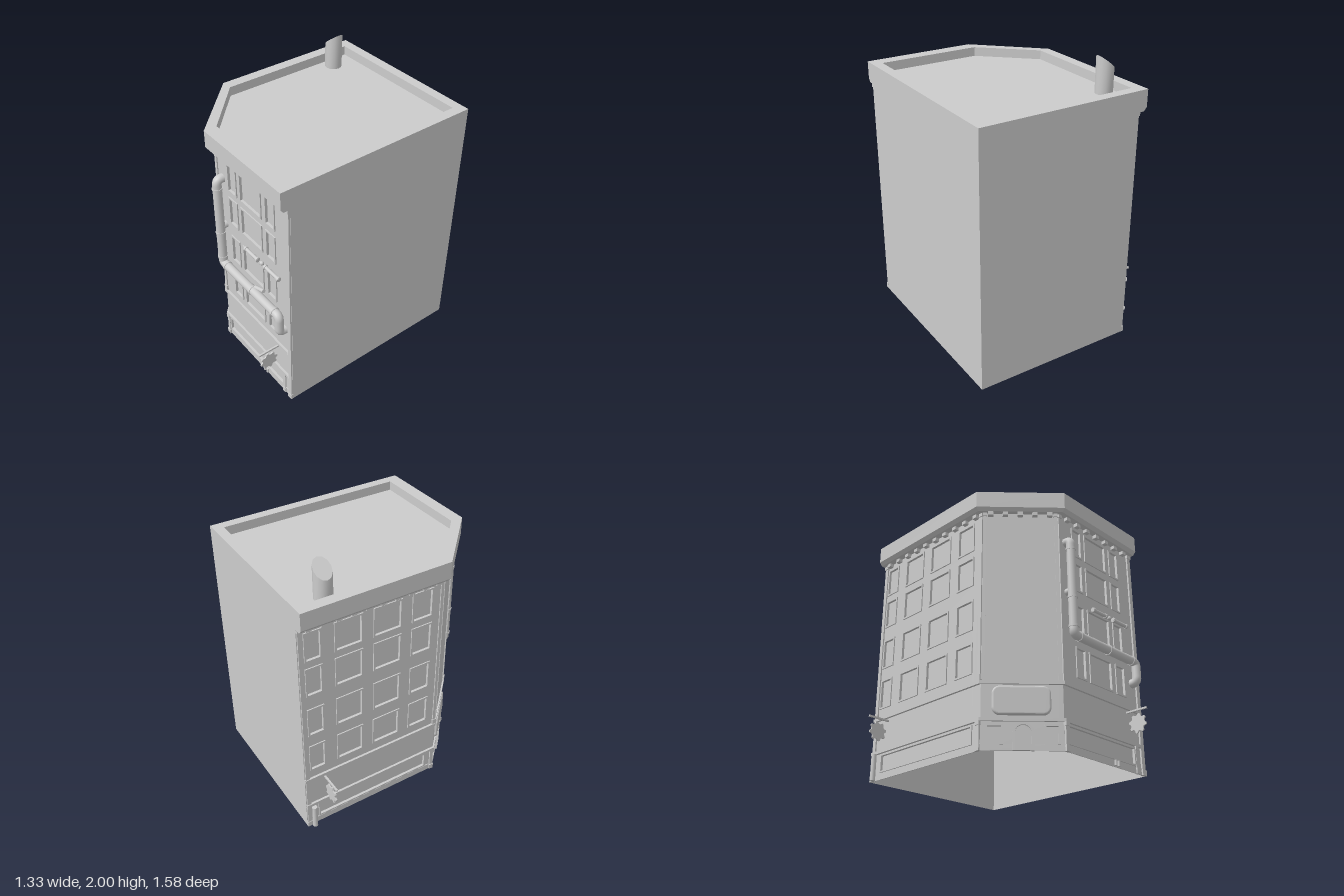
import * as THREE from 'three';

const grey = new THREE.MeshStandardMaterial({ color: 0xcccccc, side: THREE.DoubleSide });
grey.name = 'stoneGrey';

const TOP = 1.67;

// Street-side outline (rear left, chamfer start, chamfer end, front right), pushed out by o
const street = (o, xEnd = 0.667) => [[-0.5 - o, -0.785], [-0.5 - o, 0.28], [-0.135, 0.63 + o], [xEnd, 0.63 + o]];
const around = (o) => [...street(o), [0.667, -0.785]];
const roofInner = [[-0.49, -0.715], [-0.49, 0.275], [-0.133, 0.605], [0.597, 0.605], [0.597, -0.715]];

function add(parent, name, geometry, x = 0, y = 0, z = 0) {
  const m = new THREE.Mesh(geometry, grey);
  m.name = name;
  m.position.set(x, y, z);
  parent.add(m);
  return m;
}

const box = (parent, name, x0, x1, y0, y1, z0, z1) =>
  add(parent, name, new THREE.BoxGeometry(x1 - x0, y1 - y0, z1 - z0), (x0 + x1) / 2, (y0 + y1) / 2, (z0 + z1) / 2);

// Flat-faced skin over a list of [outline, height] rings
function loft(rings, closed) {
  const pos = [];
  const n = rings[0][0].length;
  for (let r = 0; r + 1 < rings.length; r++) {
    for (let i = 0; i < (closed ? n : n - 1); i++) {
      const j = (i + 1) % n;
      const p = (k, q) => [rings[k][0][q][0], rings[k][1], rings[k][0][q][1]];
      const a = p(r, i), b = p(r, j), c = p(r + 1, j), d = p(r + 1, i);
      pos.push(...a, ...b, ...c, ...a, ...c, ...d);
    }
  }
  const g = new THREE.BufferGeometry();
  g.setAttribute('position', new THREE.Float32BufferAttribute(pos, 3));
  g.computeVertexNormals();
  return g;
}

function rect(x0, x1, y0, y1, Type = THREE.Shape) {
  return new Type([[x0, y0], [x1, y0], [x1, y1], [x0, y1]].map((p) => new THREE.Vector2(...p)));
}

function roundRect(w, h, r) {
  const s = new THREE.Shape();
  const x = w / 2 - r, y = h / 2 - r;
  s.absarc(x, y, r, 0, Math.PI / 2);
  s.absarc(-x, y, r, Math.PI / 2, Math.PI);
  s.absarc(-x, -y, r, Math.PI, Math.PI * 1.5);
  s.absarc(x, -y, r, Math.PI * 1.5, Math.PI * 2);
  s.closePath();
  return s;
}

const extrude = (shape, depth) => new THREE.ExtrudeGeometry(shape, { depth, bevelEnabled: false, curveSegments: 10 });

// Wall between two ground points; local x runs along it, local z points outward
function facade(model, name, a, b, openings) {
  const g = new THREE.Group();
  g.name = name;
  const dx = b[0] - a[0], dz = b[1] - a[1];
  g.position.set(a[0], 0, a[1]);
  g.rotation.y = -Math.atan2(dz, dx);
  model.add(g);
  const wall = rect(0, Math.hypot(dx, dz), 0, TOP);
  for (const [x0, x1, y0, y1] of openings) {
    wall.holes.push(rect(x0, x1, y0, y1, THREE.Path));
    const frame = rect(x0 - 0.006, x1 + 0.006, y0 - 0.006, y1 + 0.006);
    frame.holes.push(rect(x0 + 0.006, x1 - 0.006, y0 + 0.006, y1 - 0.006, THREE.Path));
    add(g, 'windowFrame', extrude(frame, 0.02), 0, 0, -0.012);
    add(g, 'windowPane', new THREE.PlaneGeometry(x1 - x0, y1 - y0), (x0 + x1) / 2, (y0 + y1) / 2, -0.01);
  }
  add(g, 'wall', new THREE.ShapeGeometry(wall));
  return g;
}

function pillar(parent, x, w, y0, y1, d) {
  box(parent, 'pillar', x - w / 2, x + w / 2, y0, y1, -0.005, d);
  box(parent, 'pillarBase', x - w / 2 - 0.004, x + w / 2 + 0.004, y0, y0 + 0.04, -0.005, d + 0.005);
  box(parent, 'pillarCapital', x - w / 2 - 0.004, x + w / 2 + 0.004, y1 - 0.025, y1, -0.005, d + 0.006);
}

// Thin toothed wheel hanging below a rod that sticks out of a wall
function gearSign(parent, x) {
  const pts = [];
  for (let i = 0; i < 32; i++) {
    const r = i % 4 < 2 ? 0.068 : 0.053;
    const t = ((i + 0.5) / 32) * Math.PI * 2;
    pts.push(new THREE.Vector2(Math.cos(t) * r, Math.sin(t) * r));
  }
  const gear = add(parent, 'gearSign', extrude(new THREE.Shape(pts), 0.01), x - 0.005, 0.31, 0.085);
  gear.rotation.y = Math.PI / 2;
  box(parent, 'gearRod', x - 0.006, x + 0.006, 0.396, 0.408, -0.01, 0.162);
}

function rod(parent, name, r, a, b) {
  const s = new THREE.Vector3(...a), e = new THREE.Vector3(...b);
  const m = add(parent, name, new THREE.CylinderGeometry(r, r, s.distanceTo(e), 14), ...s.clone().add(e).multiplyScalar(0.5).toArray());
  m.quaternion.setFromUnitVectors(new THREE.Vector3(0, 1, 0), e.sub(s).normalize());
  return m;
}

export function createModel() {
  const model = new THREE.Group();
  model.name = 'cornerBuilding';
  const [rear, c0, c1, end] = street(0);
  const rows = [[0.515, 0.72], [0.82, 1.03], [1.145, 1.35], [1.41, 1.615]];
  const grid = (cols) => cols.flatMap((c) => rows.map((r) => [...c, ...r]));

  // Walls with windows, and the two blank walls
  const front = facade(model, 'frontWall', c1, end,
    [...grid([[0.14, 0.23], [0.275, 0.5], [0.55, 0.642]]), [0.035, 0.7, 0.055, 0.17]]);
  const corner = facade(model, 'cornerWall', c0, c1, [[0.035, 0.13, 0.045, 0.16], [0.39, 0.475, 0.045, 0.16]]);
  const side = facade(model, 'sideWall', rear, c0,
    [...grid([[0.05, 0.16], [0.26, 0.45], [0.54, 0.74], [0.83, 0.98]]), [0.1, 0.99, 0.055, 0.17]]);
  add(model, 'blankWalls', loft([0, TOP].map((y) => [[[0.667, 0.63], [0.667, -0.785], [-0.5, -0.785]], y]), false));

  // Ledges above and below the sign band
  for (const [y0, y1, o] of [[0.183, 0.205, 0.016], [0.422, 0.445, 0.016], [0, 0.045, 0.006]]) {
    const rings = [[0, y0], [o, y0], [o, y1], [0, y1]].map(([d, y]) => [street(d, 0.63), y]);
    add(model, 'ledge', loft(rings, false));
  }

  // Cornice with parapet and sunken roof
  add(model, 'cornice', loft([[around(0), 1.665], [around(0.045), 1.665], [around(0.066), 1.69],
    [around(0.066), 1.81], [roofInner, 1.81], [roofInner, 1.745]], true));
  const roof = new THREE.ShapeGeometry(new THREE.Shape(roofInner.map((p) => new THREE.Vector2(...p))));
  roof.rotateX(Math.PI / 2);
  add(model, 'roof', roof, 0, 1.745, 0);

  // Dentils under the cornice
  for (const [wall, start, count, step] of [[front, 0.083, 7, 0.104], [corner, 0.05, 5, 0.1], [side, 0.07, 10, 0.104]]) {
    for (let i = 0; i < count; i++) {
      const x = start + i * step;
      box(wall, 'dentil', x - 0.018, x + 0.018, 1.64, 1.668, -0.005, 0.03);
    }
  }

  // Pillars at the corners and beside the shop windows
  pillar(front, 0.782, 0.034, 0, 1.665, 0.012);
  pillar(front, 0.012, 0.024, 0.445, 1.665, 0.008);
  pillar(front, 0.014, 0.026, 0, 0.185, 0.012);
  pillar(front, 0.715, 0.02, 0, 0.185, 0.01);
  pillar(corner, 0.012, 0.02, 0.445, 1.665, 0.008);
  pillar(corner, 0.49, 0.02, 0.445, 1.665, 0.008);
  pillar(side, 1.05, 0.026, 0, 0.185, 0.01);
  pillar(side, 1.053, 0.022, 0.445, 1.665, 0.008);
  pillar(side, 0.02, 0.03, 0, 1.665, 0.01);
  rod(side, 'cornerPost', 0.018, [0.05, 0, 0.026], [0.05, 0.18, 0.026]);

  // Arched door
  const arch = (r, h, Type) => {
    const s = new Type();
    s.moveTo(-r, 0);
    s.lineTo(r, 0);
    s.lineTo(r, h);
    s.absarc(0, h, r, 0, Math.PI);
    s.closePath();
    return s;
  };
  const doorFrame = arch(0.066, 0.11, THREE.Shape);
  doorFrame.holes.push(arch(0.05, 0.11, THREE.Path));
  add(corner, 'doorFrame', extrude(doorFrame, 0.02), 0.257, 0, -0.003);
  add(corner, 'door', extrude(arch(0.05, 0.11, THREE.Shape), 0.006), 0.257, 0, 0);
  box(corner, 'doorHandle', 0.252, 0.262, 0.04, 0.12, 0.005, 0.01);

  // Bulging sign board on the corner
  add(corner, 'signBoard', new THREE.ExtrudeGeometry(roundRect(0.335, 0.16, 0.035),
    { depth: 0.004, bevelThickness: 0.012, bevelSize: 0.014, bevelSegments: 4, curveSegments: 8 }), 0.248, 0.315, 0.004);

  // Hanging gear signs
  gearSign(front, 0.645);
  gearSign(side, 0.152);

  // Big drain pipe on the front, turning into the wall at both ends
  const path = new THREE.CurvePath();
  const pts = [[-0.065, 1.468, 0.6], [-0.065, 1.468, 0.677], [-0.065, 0.775, 0.677], [0.59, 0.775, 0.677],
    [0.59, 0.632, 0.677], [0.59, 0.632, 0.6]].map((p) => new THREE.Vector3(...p));
  let last = pts[0];
  for (let i = 1; i < pts.length - 1; i++) {
    const toward = (q) => pts[i].clone().add(q.clone().sub(pts[i]).setLength(0.034));
    const a = toward(pts[i - 1]), b = toward(pts[i + 1]);
    path.add(new THREE.LineCurve3(last, a));
    path.add(new THREE.QuadraticBezierCurve3(a, pts[i], b));
    last = b;
  }
  path.add(new THREE.LineCurve3(last, pts[5]));
  add(model, 'drainPipe', new THREE.TubeGeometry(path, 240, 0.031, 14, false));
  for (const y of [1.4, 1.04, 0.83]) rod(model, 'pipeCollar', 0.035, [-0.065, y - 0.008, 0.677], [-0.065, y + 0.008, 0.677]);
  for (const x of [-0.01, 0.29, 0.54]) rod(model, 'pipeCollar', 0.035, [x - 0.008, 0.775, 0.677], [x + 0.008, 0.775, 0.677]);
  rod(model, 'pipeBracket', 0.026, [-0.065, 1.09, 0.62], [-0.065, 1.09, 0.677]);
  rod(model, 'pipeValve', 0.014, [0.3, 0.8, 0.66], [0.385, 0.822, 0.65]);

  // Small pipes on the wall and at the foot
  for (const [a, b] of [[0.18, 0.33], [0.4, 0.56]]) {
    rod(model, 'smallPipe', 0.013, [a, 1.05, 0.645], [b, 1.05, 0.645]);
    for (const x of [a + 0.01, b - 0.01]) rod(model, 'smallPipeEnd', 0.017, [x - 0.008, 1.05, 0.645], [x + 0.008, 1.05, 0.645]);
  }
  add(model, 'smallPipeKnob', new THREE.SphereGeometry(0.015, 10, 8), 0.365, 1.05, 0.642);
  for (const x of [0.345, 0.375]) rod(model, 'footPipe', 0.01, [x, 0.01, 0.64], [x, 0.045, 0.64]);

  // Chimney with a slanted mouth
  const stack = new THREE.CylinderGeometry(0.06, 0.06, 0.21, 12, 1, false);
  const p = stack.attributes.position;
  for (let i = 0; i < p.count; i++) if (p.getY(i) > 0) p.setY(i, p.getY(i) + p.getX(i) * 0.83);
  stack.computeVertexNormals();
  add(model, 'chimney', stack, -0.41, 1.845, -0.545);
  return model;
}
